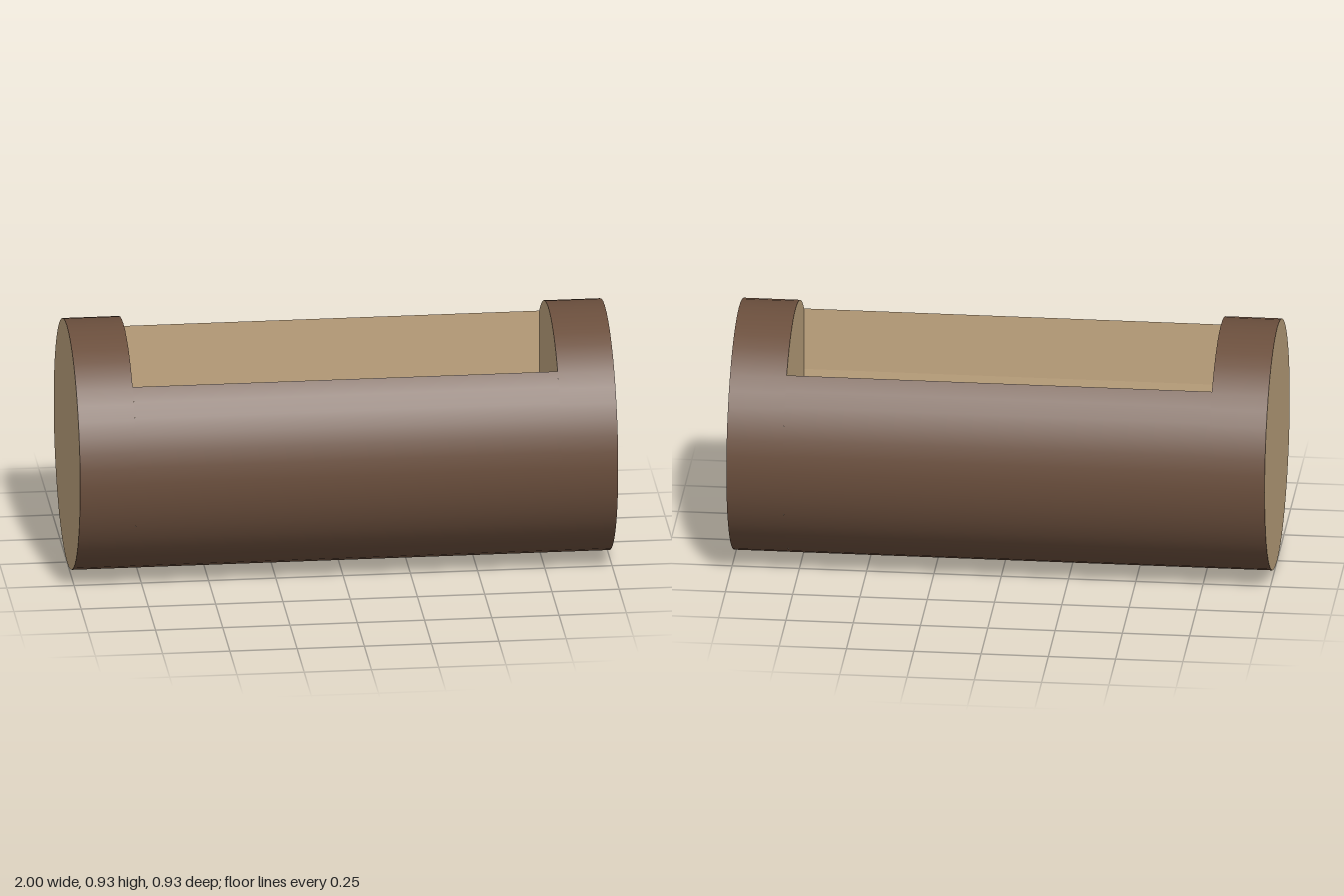
import * as THREE from 'three';

const R = 0.466;             // log radius, also height of its axis
const HALF = 1;              // half length of the log
const CUT = 0.79;            // half length of the hollow
const W = 0.323;             // half width of the hollow
const FLOOR_Y = 0.56;        // centre height of the rounded trough floor
const PHI = Math.asin(W / R);
const RIM_Y = R + R * Math.cos(PHI);

export function createModel() {
  const group = new THREE.Group();
  const bark = new THREE.MeshStandardMaterial({ color: 0x6b4f3d });
  const wood = new THREE.MeshStandardMaterial({ color: 0xc4a882 });
  const carved = new THREE.MeshStandardMaterial({ color: 0xc4a882, flatShading: true });

  const add = (name, geometry, material, x = 0, y = 0) => {
    const mesh = new THREE.Mesh(geometry, material);
    mesh.name = name;
    mesh.position.set(x, y, 0);
    group.add(mesh);
  };

  // Open bark tube lying along x
  const tube = (length, segments, start, sweep) =>
    new THREE.CylinderGeometry(R, R, length, segments, 1, true, start, sweep).rotateZ(Math.PI / 2);

  // Bark around the hollow, open at the top
  add('barkMiddle', tube(2 * CUT, 36, Math.PI / 2 + PHI, 2 * Math.PI - 2 * PHI), bark, 0, R);

  // Outline of the hollow's end walls: rounded floor, straight sides, log curve on top
  const outline = new THREE.Shape();
  outline.moveTo(-W, RIM_Y);
  outline.lineTo(-W, FLOOR_Y);
  outline.absarc(0, FLOOR_Y, W, Math.PI, 2 * Math.PI, false);
  outline.lineTo(W, RIM_Y);
  outline.absarc(0, R, R, Math.PI / 2 - PHI, Math.PI / 2 + PHI, false);

  for (const [side, s] of [['left', 1], ['right', -1]]) {
    add(side + 'BarkBand', tube(HALF - CUT, 48, 0, 2 * Math.PI), bark, s * (HALF + CUT) / 2, R);
    add(side + 'CutEnd', new THREE.CircleGeometry(R, 48).rotateY(s * Math.PI / 2), wood, s * HALF, R);
    add(side + 'HollowWall', new THREE.ShapeGeometry(outline, 20).rotateY(-s * Math.PI / 2), wood, s * CUT);
  }

  // Trough lining: straight sides joined by a faceted half round
  const profile = [[-W, RIM_Y]];
  for (let i = 0; i <= 20; i++) {
    const a = Math.PI * (1 + i / 20);
    profile.push([W * Math.cos(a), FLOOR_Y + W * Math.sin(a)]);
  }
  profile.push([W, RIM_Y]);
  const positions = [], index = [];
  profile.forEach(([z, y], i) => {
    positions.push(-CUT, y, z, CUT, y, z);
    if (i === profile.length - 1) return;
    const a = 2 * i;
    index.push(a, a + 2, a + 3, a, a + 3, a + 1);
  });
  const lining = new THREE.BufferGeometry();
  lining.setAttribute('position', new THREE.Float32BufferAttribute(positions, 3));
  lining.setIndex(index);
  lining.computeVertexNormals();
  add('hollowLining', lining, carved);

  return group;
}
